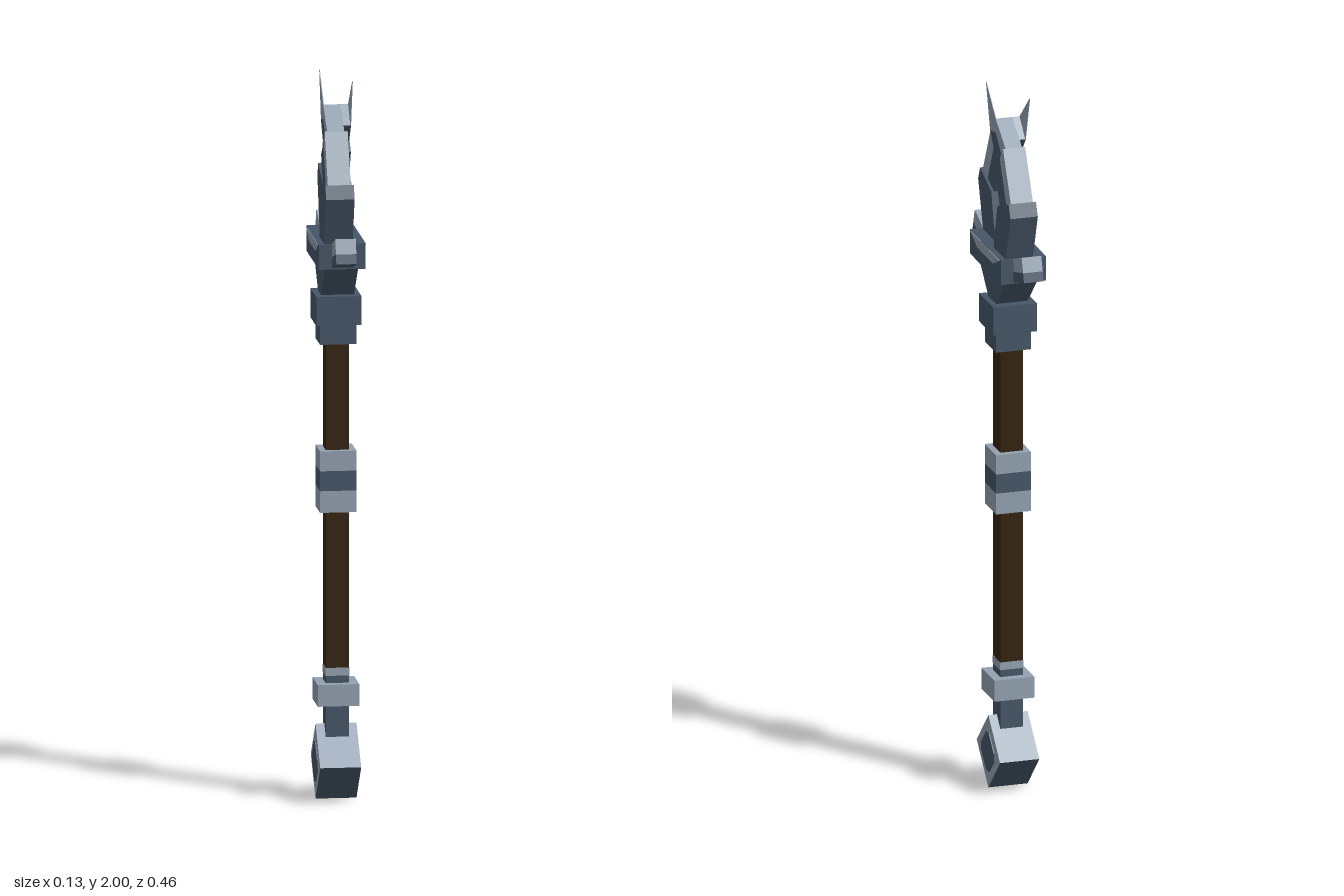
import * as THREE from 'three';

const mat = (name, color) => {
  const m = new THREE.MeshStandardMaterial({ color, side: THREE.DoubleSide });
  m.name = name;
  return m;
};

export function createModel() {
  const steel = mat('dark steel', 0x465667);
  const light = mat('light steel', 0x93a2b1);
  const wood = mat('dark wood', 0x35230f);
  const root = new THREE.Group();
  root.name = 'mace';

  const add = (parent, name, geo, material) => {
    const m = new THREE.Mesh(geo, material);
    m.name = name;
    parent.add(m);
    return m;
  };
  // square block centred on the axis between two heights
  const block = (name, hx, hz, y0, y1, material) =>
    add(root, name, new THREE.BoxGeometry(hx * 2, y1 - y0, hz * 2).translate(0, (y0 + y1) / 2, 0), material);
  // slab with a (z, y) outline, spanning x0..x1
  const slab = (parent, name, pts, x0, x1, material) => {
    const shape = new THREE.Shape(pts.map(([z, y]) => new THREE.Vector2(z, y)));
    const geo = new THREE.ExtrudeGeometry(shape, { depth: x1 - x0, bevelEnabled: false });
    geo.rotateY(-Math.PI / 2).translate(x1, 0, 0);
    return add(parent, name, geo, material);
  };

  // pommel: cube standing on an edge, pale above and dark below
  const c = 0.104;
  const pommel = new THREE.BoxGeometry(0.112, c * Math.SQRT2, c * Math.SQRT2);
  pommel.rotateX(Math.PI / 4).translate(0, c, 0);
  // face order +x -x +y -y +z -z; after the turn +y and -z face up
  add(root, 'pommel', pommel, [light, light, light, steel, steel, light]);
  const r = 0.055;
  for (const s of [-1, 1]) {
    const plate = [[-r, c - 0.012], [-r, c + 0.012], [-0.012, c + r], [0.012, c + r],
      [r, c + 0.012], [r, c - 0.012], [0.012, c - r], [-0.012, c - r]];
    slab(root, 'pommelInlay', plate, s * 0.057 - 0.002, s * 0.057 + 0.002, steel);
  }

  // handle and its collars
  block('handleFoot', 0.032, 0.032, 0.16, 0.345, steel);
  block('handleFootTrim', 0.033, 0.033, 0.345, 0.367, light);
  block('lowerRing', 0.057, 0.057, 0.265, 0.325, light);
  block('shaft', 0.032, 0.032, 0.36, 1.28, wood);
  block('gripBandBottom', 0.05, 0.05, 0.8, 0.86, light);
  block('gripBandMiddle', 0.05, 0.05, 0.86, 0.915, steel);
  block('gripBandTop', 0.05, 0.05, 0.915, 0.97, light);
  block('neckCollarLower', 0.05, 0.05, 1.265, 1.32, steel);
  block('neckCollarUpper', 0.062, 0.064, 1.32, 1.4, steel);

  // flared neck and guard
  slab(root, 'neck', [[-0.035, 1.4], [0.035, 1.4], [0.125, 1.49], [-0.125, 1.49]], -0.045, 0.045, steel);
  block('guard', 0.064, 0.137, 1.49, 1.56, steel);
  for (const s of [-1, 1]) {
    slab(root, 'guardInlay', [[-0.13, 1.558], [-0.07, 1.53], [0.07, 1.53], [0.13, 1.558]],
      s * 0.065 - 0.001, s * 0.065 + 0.001, light);
  }
  slab(root, 'centrePeak', [[-0.06, 1.56], [0.06, 1.56], [0, 1.62]], -0.03, 0.03, steel);

  // one half of the head, repeated by a half turn
  for (const turn of [0, Math.PI]) {
    const half = new THREE.Group();
    half.name = 'headHalf';
    half.rotation.y = turn;
    root.add(half);
    // upturned guard end
    slab(half, 'guardEnd', [[0.12, 1.49], [0.23, 1.522], [0.222, 1.548], [0.12, 1.52]], -0.028, 0.028, steel);
    slab(half, 'guardEndTop', [[0.12, 1.52], [0.222, 1.548], [0.208, 1.588], [0.12, 1.556]], -0.028, 0.028, light);
    // curved prong in three narrowing steps
    slab(half, 'prongBase', [[0.02, 1.54], [0.125, 1.54], [0.175, 1.69], [0.158, 1.727], [0.058, 1.69]], -0.049, 0.029, steel);
    slab(half, 'prongMiddle', [[0.058, 1.69], [0.125, 1.69], [0.057, 1.825], [0.01, 1.785]], -0.042, 0.021, steel);
    slab(half, 'prongMiddleRim', [[0.125, 1.69], [0.172, 1.695], [0.087, 1.862], [0.057, 1.825]], -0.042, 0.021, light);
    slab(half, 'prongTop', [[0.01, 1.785], [0.057, 1.825], [0, 1.88], [-0.05, 1.87], [0, 1.81]], -0.035, 0.012, steel);
    slab(half, 'prongTopRim', [[0.057, 1.825], [0.087, 1.862], [0, 1.92], [-0.05, 1.87], [0, 1.88]], -0.035, 0.012, light);
    // flat pointed tip
    slab(half, 'prongTip', [[0, 1.92], [-0.05, 1.87], [-0.088, 2]], -0.035, -0.033, light);
  }
  return root;
}
